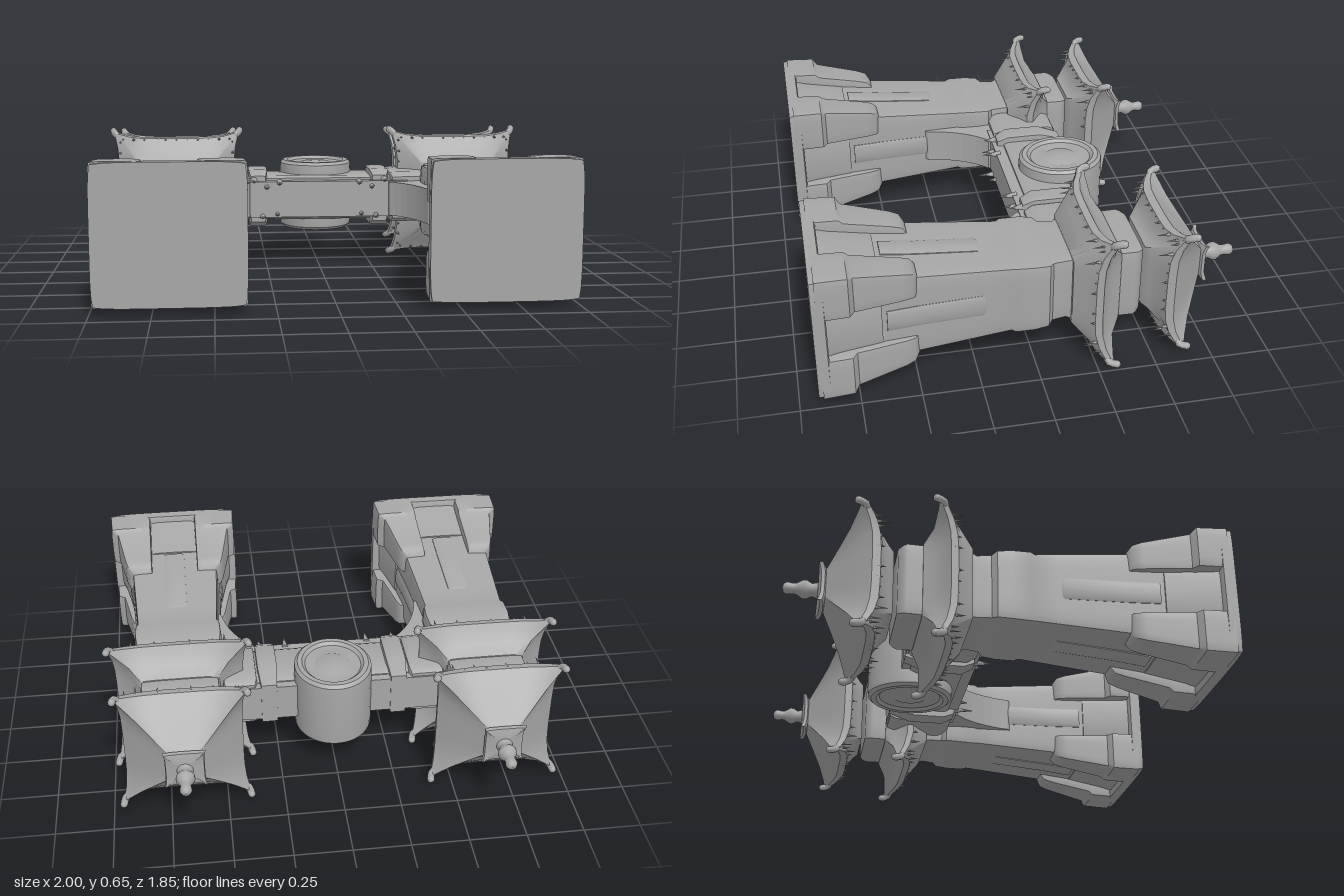
import * as THREE from 'three';
import { toCreasedNormals } from 'three/addons/utils/BufferGeometryUtils.js';

const stone = new THREE.MeshStandardMaterial({ color: 0xa6a6a6 });
stone.name = 'grey stone';

function add(parent, name, geometry, x = 0, y = 0, z = 0) {
  const mesh = new THREE.Mesh(geometry, stone);
  mesh.name = name;
  mesh.position.set(x, y, z);
  parent.add(mesh);
  return mesh;
}

// Closed loft of square rings: [height, halfX, halfZ, cornerLift, cornerFlare, centreX, centreZ]
function loft(sections, perSide = 10) {
  const pos = [], idx = [], n = perSide * 4;
  for (const [h, hx, hz, lift = 0, flare = -0.03, cx = 0, cz = 0] of sections) {
    for (let k = 0; k < 4; k++) {
      for (let i = 0; i < perSide; i++) {
        const t = Math.sin((i / perSide - 0.5) * Math.PI);
        const [u, v] = [[1, t], [-t, 1], [-1, -t], [t, -1]][k];
        const m = Math.abs(t), f = 1 + flare * m ** 6;
        pos.push(cx + hx * u * f, h + lift * m ** 5, cz + hz * v * f);
      }
    }
  }
  const last = sections.length - 1;
  for (let r = 0; r < last; r++) {
    for (let j = 0; j < n; j++) {
      const a = r * n + j, b = r * n + (j + 1) % n;
      idx.push(a, a + n, b, b, a + n, b + n);
    }
  }
  // end caps
  for (const r of [0, last]) {
    const [h, , , , , cx = 0, cz = 0] = sections[r];
    const centre = pos.length / 3;
    pos.push(cx, h, cz);
    for (let j = 0; j < n; j++) {
      const a = r * n + j, b = r * n + (j + 1) % n;
      if (r === 0) idx.push(centre, a, b);
      else idx.push(centre, b, a);
    }
  }
  const g = new THREE.BufferGeometry();
  g.setAttribute('position', new THREE.Float32BufferAttribute(pos, 3));
  g.setIndex(idx);
  return toCreasedNormals(g, 0.7);
}

function icicle(parent, x, y, z, length, radius = 0.013) {
  const g = new THREE.ConeGeometry(radius, length, 7);
  g.rotateX(Math.PI);
  add(parent, 'icicle', g, x, y - length / 2, z);
}

// Icicles along the four eaves, longest beside the corners
function eaveIcicles(parent, h, half, lift) {
  for (let k = 0; k < 4; k++) {
    for (let i = 0; i < 11; i++) {
      const t = -0.95 + i * 0.19, m = Math.abs(t);
      const length = 0.03 + 0.012 * Math.sin(i * 2.3 + k) + (m > 0.7 ? 0.045 : 0);
      const a = k * Math.PI / 2, e = half * 0.98;
      icicle(parent, e * (Math.cos(a) - t * Math.sin(a)), h + 0.015 + lift * m ** 5,
        e * (Math.sin(a) + t * Math.cos(a)), length, 0.009);
    }
  }
}

function cornerHorns(parent, half, h, size) {
  for (const sx of [-1, 1]) for (const sz of [-1, 1]) {
    const curve = new THREE.CatmullRomCurve3([
      new THREE.Vector3(sx * (half - 0.07), h - 0.015, sz * (half - 0.07)),
      new THREE.Vector3(sx * (half - 0.025), h - 0.005, sz * (half - 0.025)),
      new THREE.Vector3(sx * (half - size), h + 0.025, sz * (half - size)),
    ]);
    add(parent, 'roofHorn', new THREE.TubeGeometry(curve, 6, size, 7));
    add(parent, 'hornTip', new THREE.SphereGeometry(size, 8, 6), sx * (half - size), h + 0.025, sz * (half - size));
  }
}

function buildTower() {
  const tower = new THREE.Group();
  tower.name = 'tower';

  // Plinth, tapering shaft, collar and neck
  add(tower, 'plinth', loft([[0, 0.312, 0.292], [0.05, 0.312, 0.292], [0.055, 0.3, 0.28]]));
  add(tower, 'shaft', loft([
    [0.04, 0.235, 0.225], [0.25, 0.225, 0.212], [0.42, 0.208, 0.192], [0.72, 0.192, 0.168],
    [0.82, 0.187, 0.16], [0.84, 0.197, 0.165], [0.92, 0.2, 0.163], [0.98, 0.193, 0.158],
    [1.0, 0.165, 0.15], [1.06, 0.155, 0.148], [1.12, 0.18, 0.165],
  ]));

  // Stepped corner buttresses, leaving a niche in the middle of each face
  for (const sx of [-1, 1]) for (const sz of [-1, 1]) {
    const rows = [[0.02, 0.312, 0.294], [0.15, 0.305, 0.29], [0.17, 0.275, 0.272],
      [0.37, 0.238, 0.232], [0.41, 0.226, 0.22], [0.43, 0.2, 0.195]];
    add(tower, 'buttress', loft(rows.map(([h, ox, oz]) => [h, (ox - 0.11) / 2, (oz - 0.1) / 2, 0, -0.04,
      sx * (ox + 0.11) / 2, sz * (oz + 0.1) / 2]), 6));
  }

  // Sloping niche blocks and raised shaft strips on all faces
  add(tower, 'nicheSlope', loft([[0.05, 0.12, 0.265], [0.1, 0.12, 0.25], [0.28, 0.12, 0.215]], 4));
  add(tower, 'nicheSlope', loft([[0.05, 0.28, 0.11], [0.1, 0.265, 0.11], [0.28, 0.23, 0.11]], 4));
  add(tower, 'shaftStrip', loft([[0.3, 0.05, 0.217], [0.44, 0.05, 0.2], [0.7, 0.05, 0.178], [0.73, 0.045, 0.16]], 4));
  add(tower, 'shaftStrip', loft([[0.3, 0.23, 0.05], [0.44, 0.215, 0.05], [0.7, 0.2, 0.05], [0.73, 0.18, 0.045]], 4));

  // Lower roof
  add(tower, 'lowerRoof', loft([
    [1.08, 0.18, 0.165], [1.13, 0.235, 0.23, 0.03, 0.03], [1.155, 0.275, 0.275, 0.06, 0.1],
    [1.185, 0.28, 0.28, 0.055, 0.1], [1.2, 0.255, 0.255, 0.04, 0.08],
    [1.235, 0.205, 0.205, 0.015, 0.05], [1.285, 0.175, 0.17],
  ]));
  cornerHorns(tower, 0.323, 1.225, 0.017);
  eaveIcicles(tower, 1.155, 0.275, 0.06);

  // Upper storey
  add(tower, 'upperStorey', loft([[1.25, 0.16, 0.155], [1.28, 0.17, 0.165], [1.35, 0.172, 0.165],
    [1.365, 0.165, 0.162], [1.385, 0.14, 0.155]]));

  // Upper roof, separated by a narrow gap
  add(tower, 'upperRoof', loft([
    [1.4, 0.12, 0.15], [1.42, 0.145, 0.16], [1.45, 0.2, 0.2, 0.03, 0.03],
    [1.465, 0.25, 0.25, 0.06, 0.1], [1.5, 0.255, 0.255, 0.05, 0.1], [1.525, 0.23, 0.23, 0.04, 0.06],
    [1.57, 0.185, 0.185, 0.02, 0.04], [1.62, 0.125, 0.125, 0.01, 0.03], [1.67, 0.07, 0.07],
    [1.675, 0.083, 0.083, 0.012, 0.08], [1.69, 0.08, 0.08, 0.012, 0.08], [1.7, 0.04, 0.04],
  ]));
  cornerHorns(tower, 0.295, 1.54, 0.017);
  eaveIcicles(tower, 1.465, 0.25, 0.06);

  // Finial
  const profile = [[0.045, 1.68], [0.03, 1.71], [0.028, 1.725], [0.04, 1.745], [0.04, 1.76],
    [0.024, 1.785], [0.022, 1.8], [0.026, 1.825], [0.018, 1.84], [0, 1.845]];
  add(tower, 'finial', new THREE.LatheGeometry(profile.map(p => new THREE.Vector2(...p)), 16));
  return tower;
}

export function createModel() {
  const model = new THREE.Group();
  model.name = 'gate';
  const gate = new THREE.Group();
  gate.name = 'recliningGate';
  // The gate lies on its back: its height runs towards -z
  gate.rotation.x = -Math.PI / 2;
  gate.position.set(0, 0.326, 0.92);
  model.add(gate);

  for (const s of [-1, 1]) {
    const tower = buildTower();
    tower.position.x = s * 0.677;
    gate.add(tower);

    // Curved knee brace under the beam
    const shape = new THREE.Shape();
    shape.moveTo(0.5, 0.64);
    shape.lineTo(0.47, 0.67);
    shape.quadraticCurveTo(0.44, 0.85, 0.33, 0.95);
    shape.lineTo(0.33, 0.99);
    shape.lineTo(0.52, 0.99);
    const g = new THREE.ExtrudeGeometry(shape, { depth: 0.16, bevelEnabled: false, curveSegments: 8 });
    g.translate(0, 0, -0.08);
    if (s < 0) g.rotateY(Math.PI);
    add(gate, 'kneeBrace', g);

    // Beam brackets and end blocks
    add(gate, 'beamBracket', loft([[0.98, 0.035, 0.11], [1.03, 0.045, 0.135], [1.19, 0.045, 0.135], [1.29, 0.035, 0.1]]), s * 0.29);
    add(gate, 'beamEnd', loft([[0.98, 0.09, 0.1], [1.02, 0.1, 0.12], [1.25, 0.1, 0.12], [1.28, 0.09, 0.1]]), s * 0.44);

    // Icicles below the beam
    for (const [x, z, l] of [[0.19, 0.08, 0.09], [0.2, -0.07, 0.06], [0.25, 0.06, 0.08], [0.27, -0.08, 0.1], [0.31, 0.09, 0.06]]) {
      icicle(gate, s * x, 0.98, z, l, 0.016);
    }
  }

  // Beam between the towers
  add(gate, 'mainBeam', loft([[1.01, 0.48, 0.095], [1.03, 0.48, 0.105], [1.22, 0.48, 0.105], [1.25, 0.48, 0.09]]));
  add(gate, 'upperRail', new THREE.BoxGeometry(0.98, 0.045, 0.17), 0, 1.265, 0);
  add(gate, 'lowerRail', new THREE.BoxGeometry(0.84, 0.06, 0.17), 0, 0.99, 0);

  // Round medallion drum with rim, recess and boss on both faces
  const half = [[0.17, 0.12], [0.168, 0.15], [0.155, 0.163], [0.135, 0.163], [0.122, 0.15],
    [0.075, 0.146], [0.065, 0.152], [0.025, 0.154], [0, 0.162]];
  const points = [...half.map(([r, h]) => [r, -h]).reverse(), ...half];
  const drum = new THREE.LatheGeometry(points.map(p => new THREE.Vector2(...p)), 40);
  drum.rotateX(Math.PI / 2);
  drum.scale(1.02, 1.15, 1);
  add(gate, 'medallion', toCreasedNormals(drum, 0.6), 0, 1.228, 0);

  return model;
}
